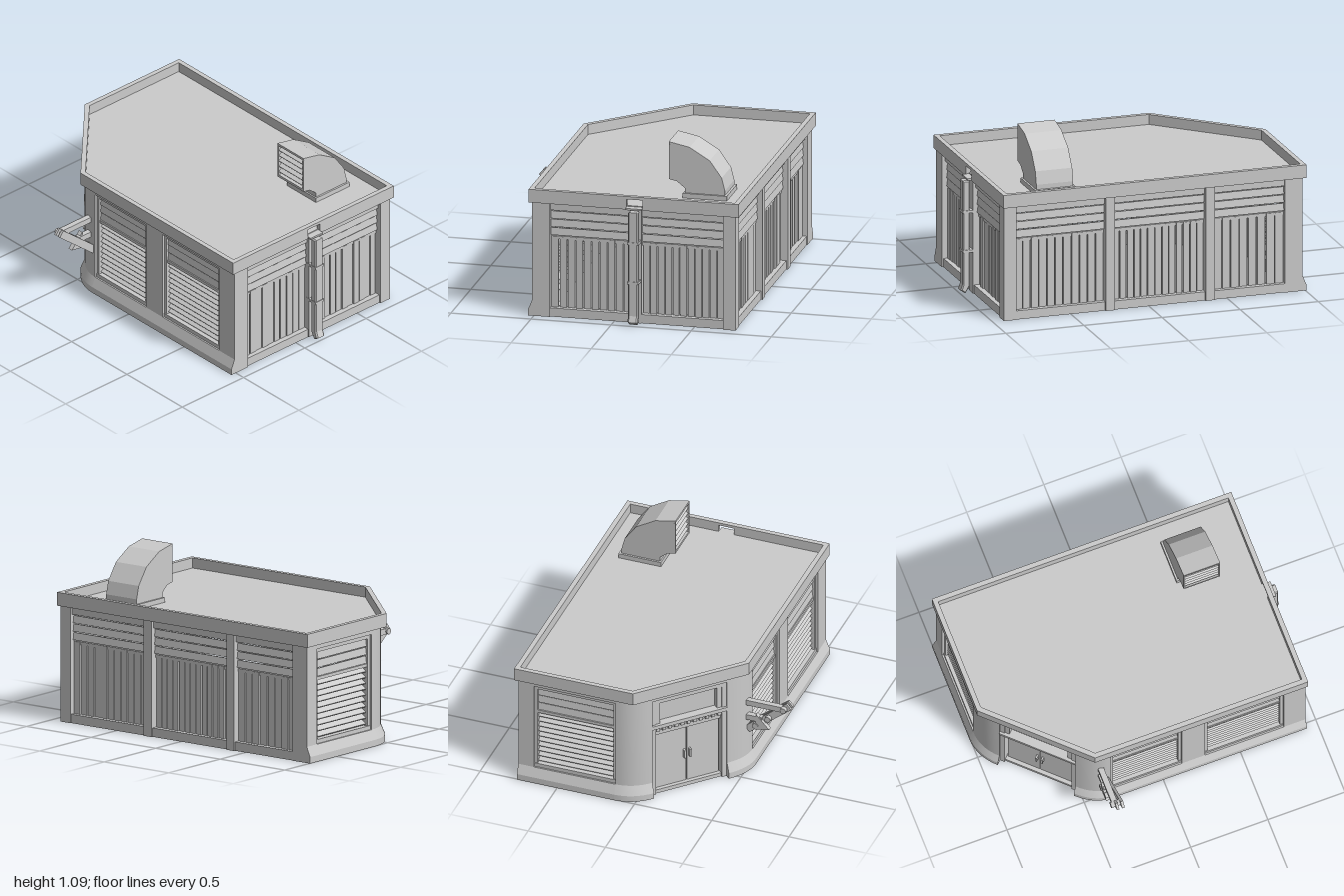
import * as THREE from 'three';
import { toCreasedNormals } from 'three/addons/utils/BufferGeometryUtils.js';

const mat = new THREE.MeshStandardMaterial({ color: 0xcccccc, side: THREE.DoubleSide });
const OUTLINE = [[-0.53, 0.94], [-0.53, -0.44], [0.01, -1], [0.78, -1], [0.78, 0.94]];

function add(parent, name, geo) {
  const m = new THREE.Mesh(geo, mat);
  m.name = name;
  parent.add(m);
  return m;
}
// Box given by its limits
function box(parent, name, x0, x1, y0, y1, z0, z1) {
  const m = add(parent, name, new THREE.BoxGeometry(x1 - x0, y1 - y0, z1 - z0));
  m.position.set((x0 + x1) / 2, (y0 + y1) / 2, (z0 + z1) / 2);
  return m;
}
function group(parent, name, x = 0, z = 0, angle = 0) {
  const g = new THREE.Group();
  g.name = name;
  g.position.set(x, 0, z);
  g.rotation.y = angle;
  parent.add(g);
  return g;
}
const toShape = (pts) => new THREE.Shape(pts.map((p) => new THREE.Vector2(p[0], p[1])));
// Plan outline (x, z) made into a slab between two heights
function slab(parent, name, shape, y0, y1) {
  const geo = new THREE.ExtrudeGeometry(shape, { depth: y1 - y0, bevelEnabled: false });
  add(parent, name, geo.rotateX(Math.PI / 2).translate(0, y1, 0));
}
// Move every edge of a plan outline inward by d
function inset(pts, d) {
  const normal = (a, b) => {
    const l = Math.hypot(b[0] - a[0], b[1] - a[1]);
    return [(b[1] - a[1]) / l, (a[0] - b[0]) / l];
  };
  return pts.map((p, i) => {
    const n = normal(pts.at(i - 1), p), m = normal(p, pts[(i + 1) % pts.length]);
    const k = d / (1 + n[0] * m[0] + n[1] * m[1]);
    return [p[0] - (n[0] + m[0]) * k, p[1] - (n[1] + m[1]) * k];
  });
}
// Sweep a closed (offset, y) section along plan stations {x, z, nx, nz}
function sweep(stations, section) {
  const pos = [], idx = [], n = section.length, last = (stations.length - 1) * n;
  for (const s of stations)
    for (const [o, y] of section) pos.push(s.x + s.nx * o, y, s.z + s.nz * o);
  for (let i = 0; i < last; i += n)
    for (let j = 0; j < n; j++) {
      const k = (j + 1) % n;
      idx.push(i + j, i + k, i + n + k, i + j, i + n + k, i + n + j);
    }
  for (let j = 1; j < n - 1; j++) idx.push(0, j + 1, j, last, last + j, last + j + 1);
  const g = new THREE.BufferGeometry();
  g.setAttribute('position', new THREE.Float32BufferAttribute(pos, 3));
  g.setIndex(idx);
  return toCreasedNormals(g, 0.3);
}

let seed = 7;
const rand = () => (seed = (seed * 16807) % 2147483647) / 2147483647;

// Three overlapping tilted boards under the eaves
function upperBoards(g, w) {
  for (const y of [0.535, 0.588, 0.64])
    box(g, 'upperBoard', -w / 2, w / 2, y - 0.024, y + 0.022, -0.045, -0.028).rotation.x = -0.15;
}
// Timber bay: plinth, head beam, upper boards and upright planks (local +z is outward)
function timberBay(parent, name, w, x, z, angle, pitch) {
  const g = group(parent, name, x, z, angle);
  box(g, 'plinth', -w / 2, w / 2, 0, 0.055, -0.07, -0.005);
  box(g, 'headBeam', -w / 2, w / 2, 0.672, 0.72, -0.06, -0.015);
  box(g, 'midRail', -w / 2, w / 2, 0.485, 0.505, -0.06, -0.035);
  upperBoards(g, w);
  const n = Math.round(w / pitch), p = w / n;
  for (let i = 0; i < n; i++) {
    const c = -w / 2 + (i + 0.5) * p, d = rand() * 0.01;
    box(g, 'plank', c - p / 2 + 0.003, c + p / 2 - 0.002 - rand() * 0.003, 0.055, 0.502, -0.05 - d, -0.03 - d);
  }
}
// Shuttered window: frame, upper boards and tilted louvres
function louvredWindow(parent, name, w, x, z, angle) {
  const g = group(parent, name, x, z, angle), h = w / 2;
  for (const s of [-1, 1]) box(g, 'jamb', s * (h - 0.01) - 0.01, s * (h - 0.01) + 0.01, 0.1, 0.69, -0.07, -0.015);
  box(g, 'sill', -h, h, 0.1, 0.125, -0.08, -0.01);
  box(g, 'transom', -h, h, 0.49, 0.51, -0.07, -0.02);
  box(g, 'headBeam', -h, h, 0.665, 0.69, -0.07, -0.015);
  upperBoards(g, w - 0.04);
  for (let i = 0; i < 10; i++) {
    const y = 0.145 + i * 0.036;
    box(g, 'louvre', -h + 0.02, h - 0.02, y - 0.004, y + 0.004, -0.068, -0.028).rotation.x = 0.6;
  }
}

export function createModel() {
  const root = new THREE.Group();
  root.name = 'building';

  // Plaster walls around the left, diagonal and back sides, with flared foot
  const wall = inset(OUTLINE, 0.02), A = wall[1], B = wall[2];
  const len = Math.hypot(B[0] - A[0], B[1] - A[1]);
  const dx = (B[0] - A[0]) / len, dz = (B[1] - A[1]) / len;
  const L = (z) => ({ x: A[0], z, nx: -1, nz: 0 });
  const D = (t) => ({ x: A[0] + dx * t, z: A[1] + dz * t, nx: dz, nz: -dx });
  const K = (x) => ({ x, z: B[1], nx: 0, nz: -1 });
  const corner = (a, c, b) => {
    const v = (p) => new THREE.Vector2(p.x, p.z);
    const curve = new THREE.QuadraticBezierCurve(v(a), new THREE.Vector2(...c), v(b));
    return Array.from({ length: 9 }, (_, i) => {
      const p = curve.getPoint(i / 8), t = curve.getTangent(i / 8);
      return { x: p.x, z: p.y, nx: t.y, nz: -t.x };
    });
  };
  const d0 = 0.13, d1 = len - 0.13, T = -0.11, F = 0.025;
  const foot = [[T, 0], [F, 0], [F, 0.04], [0, 0.1]];
  const full = [...foot, [0, 0.72], [T, 0.72]], low = [...foot, [T, 0.1]];
  const lintel = [[T, 0.69], [0, 0.69], [0, 0.72], [T, 0.72]];
  const walls = group(root, 'plasterWalls');
  for (const s of [
    [L(0.93), L(0.79)], [L(0.28), L(0.13)], [K(0.66), K(0.76)],
    corner(L(-0.33), A, D(d0)), corner(D(d1), B, K(0.13)),
  ]) add(walls, 'wallPier', sweep(s, full));
  const openings = [[L(0.79), L(0.28)], [L(0.13), L(-0.33)], [K(0.13), K(0.66)]];
  for (const s of openings) add(walls, 'wallUnderWindow', sweep(s, low));
  for (const s of [...openings, [D(d0), D(d1)]]) add(walls, 'lintel', sweep(s, lintel));

  louvredWindow(root, 'leftFrontWindow', 0.51, A[0], 0.535, -Math.PI / 2);
  louvredWindow(root, 'leftRearWindow', 0.46, A[0], -0.1, -Math.PI / 2);
  louvredWindow(root, 'backWindow', 0.53, 0.395, B[1], Math.PI);

  // Timber front and right sides
  const posts = group(root, 'timberPosts');
  box(posts, 'cornerPost', 0.68, 0.76, 0, 0.72, 0.85, 0.93);
  box(posts, 'frontPost', 0.1, 0.17, 0, 0.72, 0.85, 0.925);
  for (const z of [0.25, -0.39]) box(posts, 'rightPost', 0.68, 0.765, 0, 0.72, z - 0.03, z + 0.03);
  timberBay(root, 'frontLeftBay', 0.5, -0.15, 0.925, 0, 0.05);
  timberBay(root, 'frontRightBay', 0.51, 0.425, 0.925, 0, 0.046);
  timberBay(root, 'rightFrontBay', 0.57, 0.76, 0.565, Math.PI / 2, 0.052);
  timberBay(root, 'rightMiddleBay', 0.58, 0.76, -0.07, Math.PI / 2, 0.045);
  timberBay(root, 'rightRearBay', 0.45, 0.76, -0.645, Math.PI / 2, 0.056);

  // Diagonal entrance: double door, toothed counter and framed hatch
  const m = D(len / 2), w = (d1 - d0) / 2;
  const door = group(root, 'entrance', m.x, m.z, Math.atan2(m.nx, m.nz));
  for (const s of [-1, 1]) {
    box(door, 'doorPost', s * (w - 0.015) - 0.015, s * (w - 0.015) + 0.015, 0, 0.69, -0.1, -0.01);
    box(door, 'doorLeaf', s * 0.108 - 0.106, s * 0.108 + 0.106, 0.02, 0.42, -0.07, -0.045);
    box(door, 'doorHandle', s * 0.018 - 0.006, s * 0.018 + 0.006, 0.2, 0.255, -0.045, -0.02);
    box(door, 'hatchSide', s * (w - 0.045) - 0.015, s * (w - 0.045) + 0.015, 0.51, 0.67, -0.06, -0.015);
  }
  box(door, 'threshold', -w, w, 0, 0.02, -0.11, -0.02);
  box(door, 'doorHead', -w, w, 0.42, 0.45, -0.09, -0.03);
  box(door, 'counter', -w, w, 0.485, 0.51, -0.09, 0.005);
  box(door, 'hatchHead', -w, w, 0.66, 0.69, -0.06, -0.01);
  box(door, 'hatchPanel', -w, w, 0.51, 0.67, -0.07, -0.05);
  box(door, 'counterBacking', -w, w, 0.45, 0.485, -0.08, -0.05);
  for (let i = 0; i < 11; i++) {
    const c = -w + 0.045 + (i * (2 * w - 0.09)) / 10;
    box(door, 'counterTooth', c - 0.011, c + 0.011, 0.455, 0.485, -0.05, -0.01);
  }

  // Floor, roof deck and parapet with a drain slot at the front
  slab(root, 'floor', toShape(inset(OUTLINE, 0.04)), 0.005, 0.025);
  slab(root, 'roofDeck', toShape(inset(OUTLINE, 0.02)), 0.72, 0.74);
  const inner = inset(OUTLINE, 0.03);
  const ring = toShape(OUTLINE);
  ring.holes.push(new THREE.Path(inner.map((p) => new THREE.Vector2(p[0], p[1]))));
  const slotted = toShape([
    [0.08, 0.94], ...OUTLINE, [0.18, 0.94], [0.18, 0.91], ...[...inner].reverse(), [0.08, 0.91],
  ]);
  slab(root, 'parapetBase', ring, 0.72, 0.735);
  slab(root, 'parapetSides', slotted, 0.735, 0.785);
  slab(root, 'parapetCap', ring, 0.785, 0.803);

  // Rain pipe with outlet lip, straps and kicked-out foot
  const pipe = group(root, 'rainPipe');
  const pipeShape = toShape([[0.95, 0.71], [0.95, 0.05], [0.972, 0.012], [0.993, 0.026], [0.98, 0.06], [0.98, 0.71]]);
  const pipeGeo = new THREE.ExtrudeGeometry(pipeShape, { depth: 0.046, bevelSize: 0.007, bevelThickness: 0.008, bevelSegments: 1 });
  add(pipe, 'pipe', pipeGeo.rotateY(-Math.PI / 2).translate(0.155, 0, 0));
  box(pipe, 'outletLip', 0.08, 0.18, 0.724, 0.735, 0.91, 0.965);
  for (const y of [0.52, 0.27]) box(pipe, 'strap', 0.098, 0.167, y - 0.008, y + 0.008, 0.9, 0.99);

  // Roof vent: curved duct with louvred mouth facing left
  const vent = group(root, 'roofVent');
  const duct = toShape([
    [0.38, 0.74], [0.63, 0.74], [0.63, 0.8], [0.61, 0.88], [0.535, 0.985], [0.41, 1.06], [0.28, 1.087],
    [0.28, 1.072], [0.32, 1.064], [0.32, 0.86], [0.28, 0.866], [0.28, 0.85], [0.33, 0.84], [0.38, 0.8],
  ]);
  add(vent, 'duct', new THREE.ExtrudeGeometry(duct, { depth: 0.236, bevelEnabled: false }).translate(0, 0, 0.442));
  for (const z of [0.442, 0.67]) box(vent, 'mouthSide', 0.28, 0.322, 0.86, 1.07, z, z + 0.008);
  for (let i = 0; i < 5; i++)
    box(vent, 'ventLouvre', 0.283, 0.32, 0.89 + i * 0.038, 0.897 + i * 0.038, 0.45, 0.67).rotation.z = 0.5;
  box(vent, 'collar', 0.37, 0.645, 0.74, 0.77, 0.43, 0.69);

  // Braced wall bracket on the left side
  const bracket = group(root, 'wallBracket');
  const bar = (name, x0, y0, x1, y1, t, z0, z1) => {
    const l = Math.hypot(x1 - x0, y1 - y0);
    const b = add(bracket, name, new THREE.BoxGeometry(l, t, z1 - z0));
    b.position.set((x0 + x1) / 2, (y0 + y1) / 2, (z0 + z1) / 2);
    b.rotation.z = Math.atan2(y1 - y0, x1 - x0);
  };
  bar('topArm', -0.74, 0.487, -0.5, 0.487, 0.036, -0.41, -0.375);
  bar('lowerArm', -0.6, 0.382, -0.5, 0.382, 0.036, -0.41, -0.375);
  bar('brace', -0.77, 0.51, -0.5, 0.285, 0.048, -0.362, -0.345);
  bar('braceBack', -0.77, 0.51, -0.5, 0.285, 0.048, -0.395, -0.38);
  const gusset = toShape([[-0.65, 0.325], [-0.56, 0.31], [-0.565, 0.42]]);
  add(bracket, 'gusset', new THREE.ExtrudeGeometry(gusset, { depth: 0.03, bevelEnabled: false }).translate(0, 0, -0.415));
  for (const [x, y] of [[-0.74, 0.487], [-0.64, 0.4], [-0.56, 0.335]]) {
    const bolt = add(bracket, 'bolt', new THREE.CylinderGeometry(0.02, 0.02, 0.075, 8).rotateX(Math.PI / 2));
    bolt.position.set(x, y, -0.383);
  }
  return root;
}
